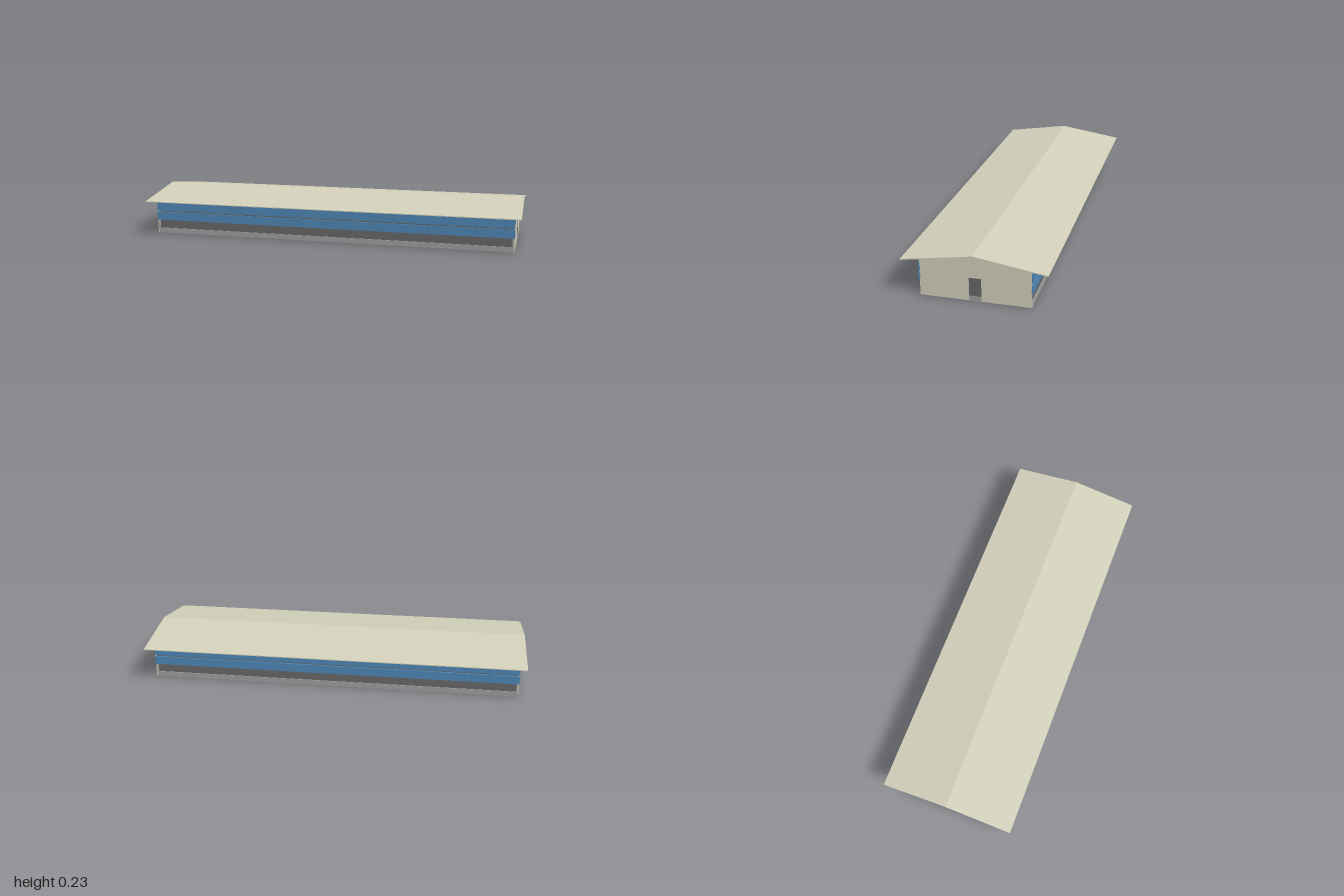
import * as THREE from 'three';

export function createModel() {
  const mat = (name, color) => {
    const m = new THREE.MeshStandardMaterial({ color });
    m.name = name;
    return m;
  };
  const beige = mat('beige sheet metal', 0xd3d1bb);
  const concrete = mat('concrete grey', 0xa0a0a0);
  const dark = mat('dark mesh grey', 0x686868);
  const blue = mat('curtain blue', 0x4f88b8);

  const L = 0.917, W = 0.252;            // wall half length and half width
  const RL = 0.946, RW = 0.329;          // roof half length and half width
  const eave = 0.177, ridge = 0.228;
  const roofY = (z) => ridge - (ridge - eave) * Math.abs(z) / RW;

  const barn = new THREE.Group();
  barn.name = 'barn';
  const add = (name, geo, material, x = 0, y = 0, z = 0) => {
    const mesh = new THREE.Mesh(geo, material);
    mesh.name = name;
    mesh.position.set(x, y, z);
    barn.add(mesh);
    return mesh;
  };
  // Box given by its size along x and z and its bottom and top heights
  const slab = (name, material, sx, y0, y1, sz, x = 0, z = 0) =>
    add(name, new THREE.BoxGeometry(sx, y1 - y0, sz), material, x, (y0 + y1) / 2, z);
  // Outline in the z-y plane, extruded along x and centred
  const profile = (points, depth) => {
    const geo = new THREE.ExtrudeGeometry(
      new THREE.Shape(points.map(([z, y]) => new THREE.Vector2(z, y))),
      { depth, bevelEnabled: false });
    return geo.translate(0, 0, -depth / 2).rotateY(Math.PI / 2);
  };

  // Floor with the low side walls, and the screened openings above them
  slab('concreteBase', concrete, 2 * L - 0.004, 0, 0.025, 2 * W);
  slab('sideScreens', dark, 2 * L - 0.004, 0.025, 0.184, 2 * W - 0.008);

  for (const s of [-1, 1]) {
    // Side curtains in two rows, standing proud of the wall
    slab('lowerCurtain', blue, 2 * L, 0.068, 0.11, 0.008, 0, s * (W + 0.001));
    slab('upperCurtain', blue, 2 * L, 0.117, 0.161, 0.008, 0, s * (W + 0.001));

    // Corner posts beside the screens
    for (const e of [-1, 1])
      slab('cornerPost', concrete, 0.01, 0.025, 0.068, 0.008, e * (L - 0.007), s * (W - 0.004));

    // Gable walls with a central door
    const top = roofY(W) - 0.003;
    add('gableWall', profile(
      [[-W, 0], [W, 0], [W, top], [0, ridge - 0.003], [-W, top]], 0.006),
    beige, s * (L - 0.003));
    slab('doorSill', concrete, 0.003, 0, 0.025, 0.055, s * L);
    slab('door', dark, 0.003, 0.025, 0.11, 0.055, s * L);
  }

  // Thin pitched roof with a wide overhang
  const t = 0.004;
  add('roof', profile(
    [[-RW, eave - t], [0, ridge - t], [RW, eave - t], [RW, eave], [0, ridge], [-RW, eave]],
    2 * RL), beige);

  // The barn stands diagonally on its plot
  barn.rotation.y = 0.376;
  const model = new THREE.Group();
  model.name = 'livestockBarn';
  model.add(barn);
  return model;
}
